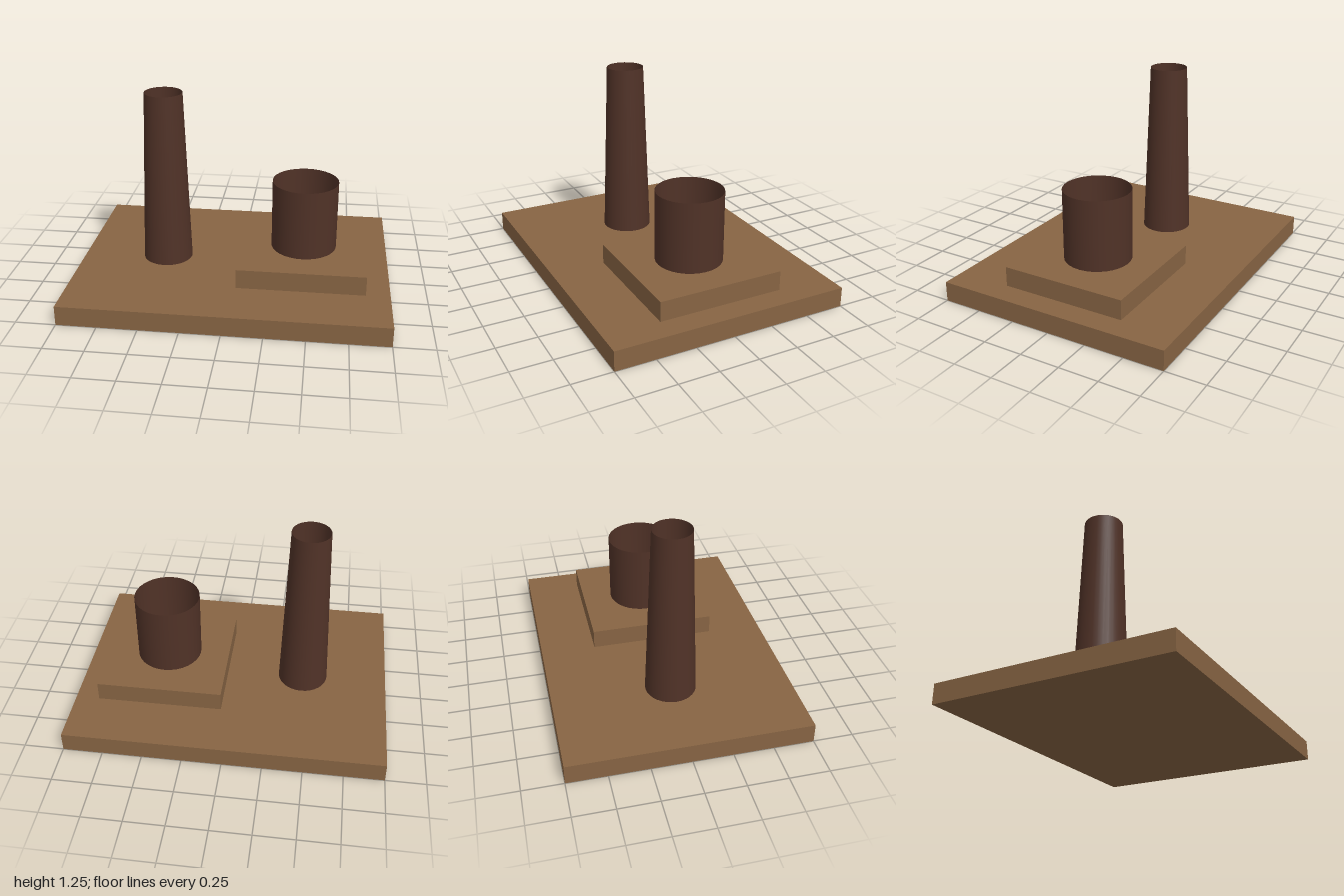
import * as THREE from 'three';

export function createModel() {
  const model = new THREE.Group();
  const wood = new THREE.MeshStandardMaterial({ name: 'wood brown', color: 0x876443 });
  const dark = new THREE.MeshStandardMaterial({ name: 'dark brown', color: 0x503227, side: THREE.DoubleSide });

  const add = (name, geometry, material, x, y) => {
    const mesh = new THREE.Mesh(geometry, material);
    mesh.name = name;
    mesh.position.set(x, y, 0);
    model.add(mesh);
  };

  // Open-ended, thin-walled pipe standing between two heights
  const pipe = (name, rTop, rBottom, x, y0, y1) =>
    add(name, new THREE.CylinderGeometry(rTop, rBottom, y1 - y0, 32, 1, true), dark, x, (y0 + y1) / 2);

  // Stepped slabs
  add('base', new THREE.BoxGeometry(2, 0.125, 1.5), wood, 0, 0.0625);
  add('step', new THREE.BoxGeometry(0.8, 0.125, 0.8), wood, 0.45, 0.1875);

  // Tall tapered chimney and short straight drum
  pipe('chimney', 0.12, 0.16, -0.45, 0.125, 1.25);
  pipe('drum', 0.21, 0.21, 0.45, 0.25, 0.7);

  return model;
}
